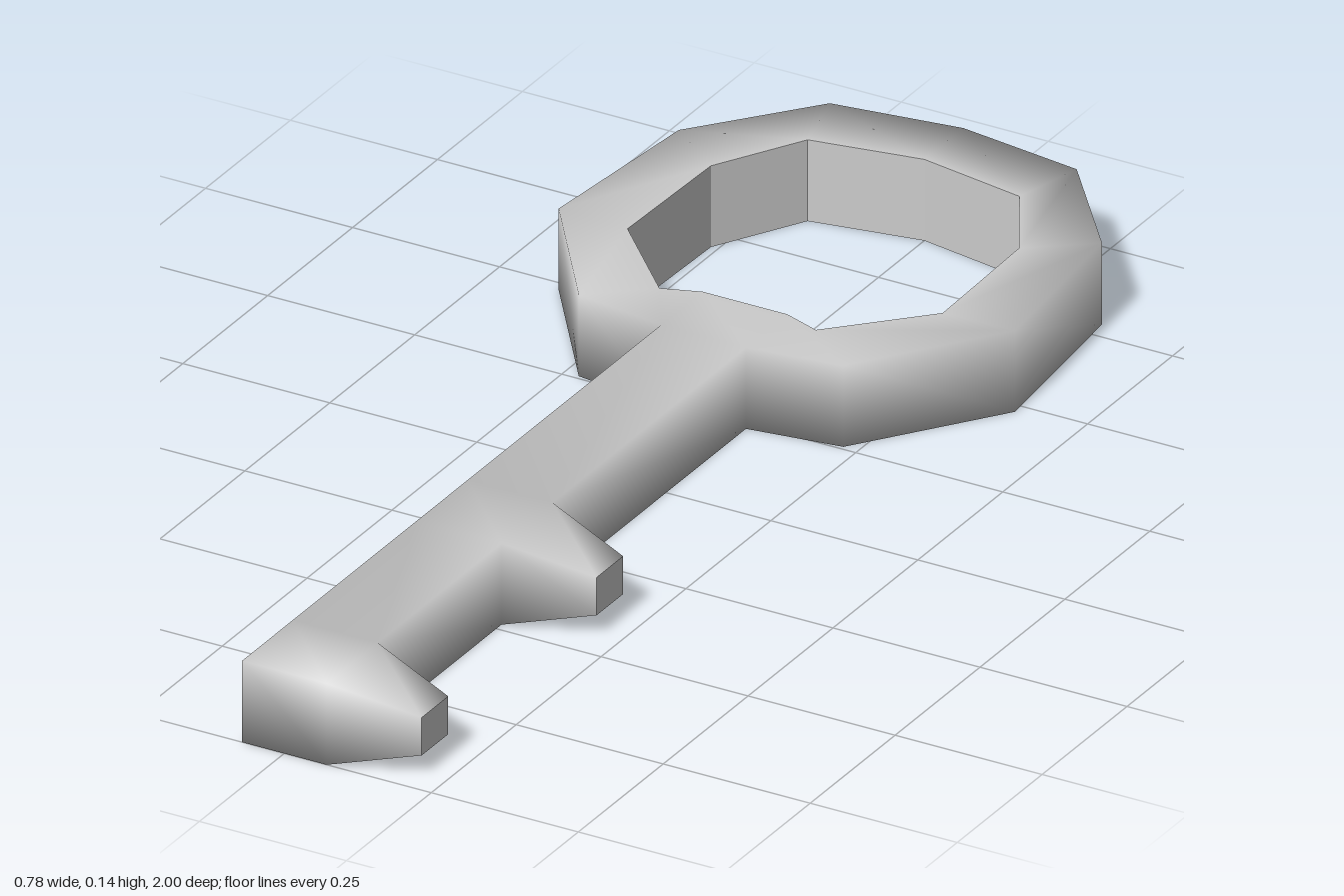
import * as THREE from 'three';
import { mergeVertices } from 'three/addons/utils/BufferGeometryUtils.js';

const H = 0.135; // thickness
const W = 0.072; // half width of the shaft

// Collects outward-facing quads and turns them into a mesh.
function quadSet(name, smooth) {
  const pos = [];
  return {
    quad(a, b, c, d) {
      for (const p of [a, b, c, a, c, d]) pos.push(...p);
    },
    mesh() {
      let geo = new THREE.BufferGeometry();
      geo.setAttribute('position', new THREE.Float32BufferAttribute(pos, 3));
      if (smooth) geo = mergeVertices(geo, 1e-4);
      geo.computeVertexNormals();
      const mat = new THREE.MeshStandardMaterial({ color: 0xcccccc, flatShading: !smooth });
      const mesh = new THREE.Mesh(geo, mat);
      mesh.name = name;
      return mesh;
    },
  };
}

// Plan points are [x, z]; lift one to a height.
const at = ([x, z], y) => [x, y, z];

// Matching top and bottom faces over a plan quad.
function plates(set, a, b, c, d) {
  set.quad(at(a, H), at(b, H), at(c, H), at(d, H));
  set.quad(at(d, 0), at(c, 0), at(b, 0), at(a, 0));
}

// Upright wall from a to b.
function wall(set, a, b) {
  set.quad(at(a, 0), at(a, H), at(b, H), at(b, 0));
}

// Completes a half outline, starting on the centre line, by mirroring it in x.
const mirrorLoop = (half) => [...half, ...half.slice(1).reverse().map(([x, z]) => [-x, z])];

export function createModel() {
  const body = quadSet('keyBody', true);
  const inner = quadSet('bowInnerWall', false);
  const tips = quadSet('toothTips', false);

  // Bow: faceted ring, open where the shaft joins
  const outerHalf = [[0, -1], [0.21, -0.97], [0.36, -0.785], [0.388, -0.48], [0.225, -0.257], [W, -0.235]];
  const innerHalf = [[0, -0.885], [0.18, -0.853], [0.262, -0.71], [0.268, -0.475], [0.133, -0.335], [W, -0.357]];
  const o = mirrorLoop(outerHalf);
  const n = mirrorLoop(innerHalf);
  const shaftGap = outerHalf.length - 1;
  for (let i = 0; i < o.length; i++) {
    const j = (i + 1) % o.length;
    plates(body, o[i], n[i], n[j], o[j]);
    wall(inner, n[j], n[i]);
    if (i !== shaftGap) wall(body, o[i], o[j]);
  }

  // Shaft: sections between stations, every second one carrying a tooth
  const stations = [-0.235, 0.335, 0.485, 0.85, 1];
  for (let i = 0; i < stations.length - 1; i++) {
    const z0 = stations[i], z1 = stations[i + 1];
    plates(body, [-W, z0], [-W, z1], [W, z1], [W, z0]);
    wall(body, [-W, z1], [-W, z0]);
    if (i % 2 === 0) {
      wall(body, [W, z0], [W, z1]);
      continue;
    }
    // Tooth: block tapering to a small square tip
    const section = (x, inset) => [
      [x, inset, z1 - inset], [x, inset, z0 + inset],
      [x, H - inset, z0 + inset], [x, H - inset, z1 - inset],
    ];
    const base = section(W, 0);
    const tip = section(0.213, 0.036);
    for (let k = 0; k < 4; k++) {
      const m = (k + 1) % 4;
      body.quad(base[k], base[m], tip[m], tip[k]);
    }
    tips.quad(...tip);
  }
  wall(body, [W, 1], [-W, 1]); // end of the shaft

  const key = new THREE.Group();
  key.name = 'key';
  key.add(body.mesh(), inner.mesh(), tips.mesh());
  return key;
}
